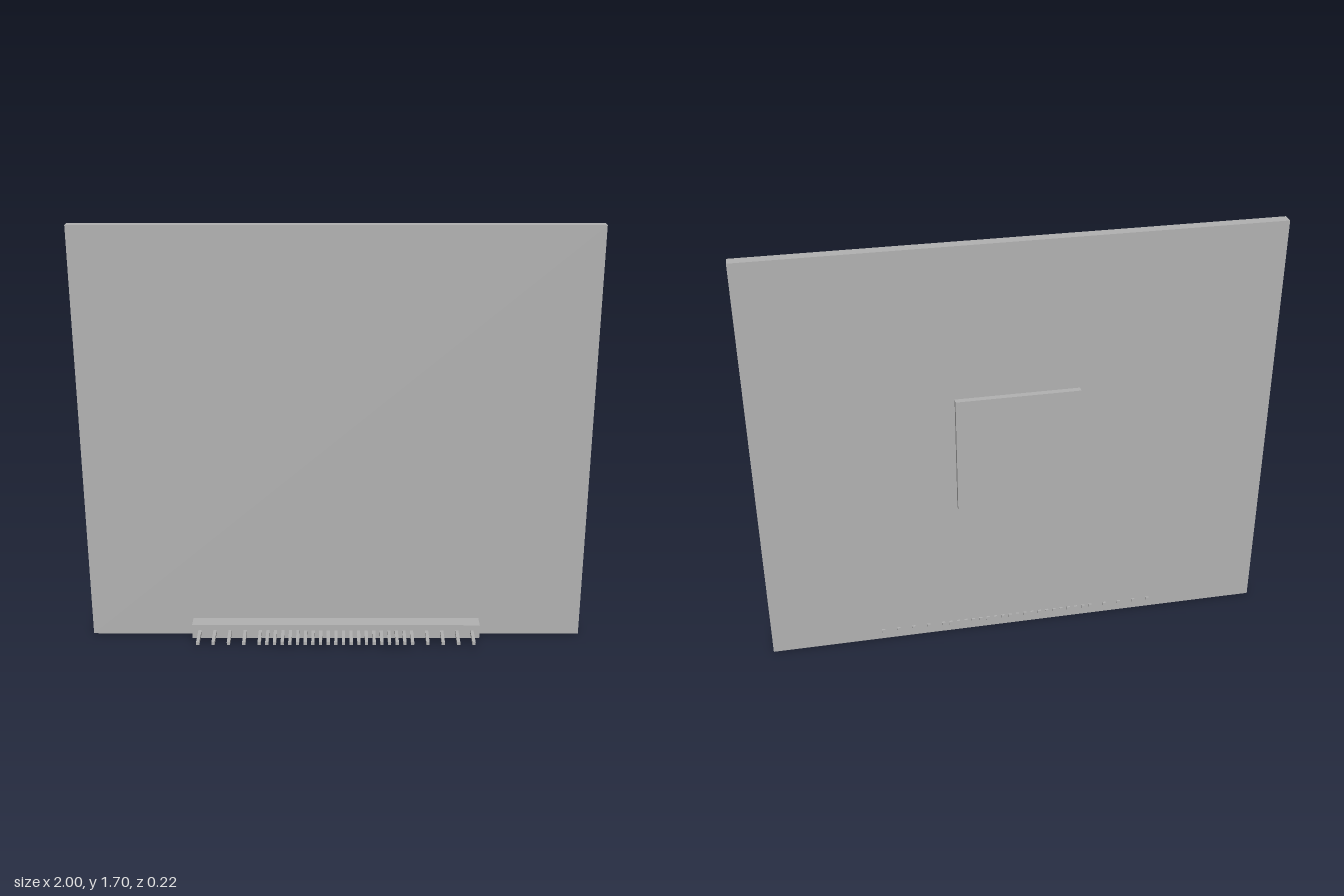
import * as THREE from 'three';

export function createModel() {
  const group = new THREE.Group();
  const grey = new THREE.MeshStandardMaterial({ color: 0xb2b2b2 });
  grey.name = 'grey';

  // Box given by its min and max along each axis
  const block = (name, [x0, x1], [y0, y1], [z0, z1]) => {
    const mesh = new THREE.Mesh(new THREE.BoxGeometry(x1 - x0, y1 - y0, z1 - z0), grey);
    mesh.position.set((x0 + x1) / 2, (y0 + y1) / 2, (z0 + z1) / 2);
    mesh.name = name;
    group.add(mesh);
  };

  // Panel, raised chip on the back, and connector strip on the front
  block('board', [-1, 1], [0, 1.697], [-0.088, -0.047]);
  block('chip', [-0.238, 0.238], [0.612, 1.088], [-0.111, -0.088]);
  block('connectorStrip', [-0.586, 0.586], [0.012, 0.071], [-0.047, 0.013]);

  // Pins pass through strip and board: 21 close together, 4 wider spaced at each end
  const pitch = 0.0308;
  const half = 0.0065;
  const slots = [];
  for (let i = -10; i <= 10; i++) slots.push(i);
  for (let i = 12; i <= 18; i += 2) slots.push(-i, i);
  for (const slot of slots) {
    const x = slot * pitch;
    block('pin', [x - half, x + half], [0.041 - half, 0.041 + half], [-0.095, 0.111]);
  }

  return group;
}
